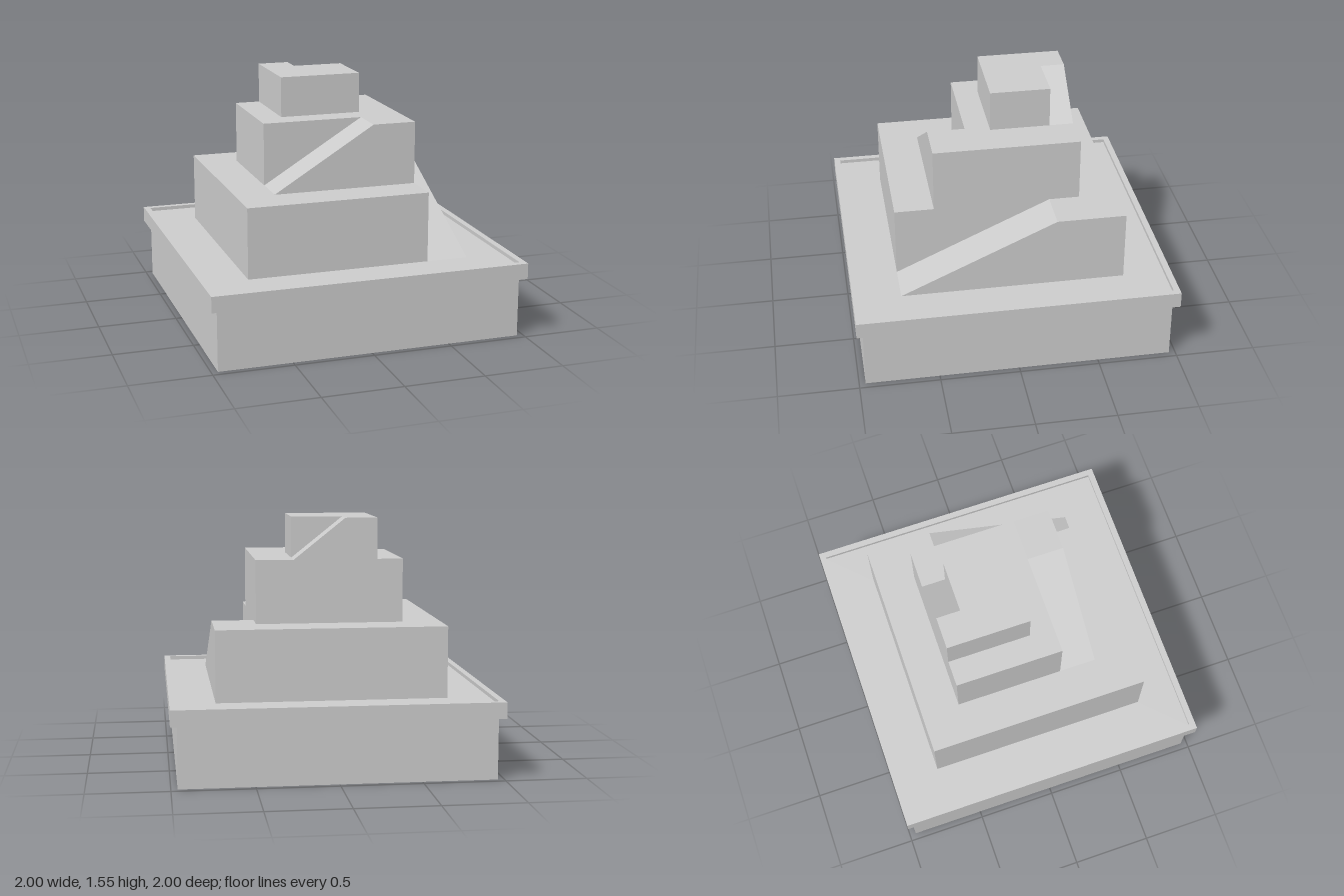
import * as THREE from 'three';

const material = new THREE.MeshStandardMaterial({ color: 0xcccccc, flatShading: true });

function part(name, geometry) {
  const mesh = new THREE.Mesh(geometry, material);
  mesh.name = name;
  return mesh;
}

// Box given by its limits on each axis
function block(name, [x0, x1], [y0, y1], [z0, z1]) {
  const geometry = new THREE.BoxGeometry(x1 - x0, y1 - y0, z1 - z0);
  geometry.translate((x0 + x1) / 2, (y0 + y1) / 2, (z0 + z1) / 2);
  return part(name, geometry);
}

// Side profile (x, y) extruded from z0 to z1
function slab(name, points, [z0, z1]) {
  const shape = new THREE.Shape(points.map(([x, y]) => new THREE.Vector2(x, y)));
  const geometry = new THREE.ExtrudeGeometry(shape, { depth: z1 - z0, bevelEnabled: false });
  geometry.translate(0, 0, z0);
  return part(name, geometry);
}

function tier(name, ...meshes) {
  const group = new THREE.Group();
  group.name = name;
  group.add(...meshes);
  return group;
}

const square = (r) => [[-r, -r], [r, -r], [r, r], [-r, r]].map(([x, y]) => new THREE.Vector2(x, y));

export function createModel() {
  const model = new THREE.Group();
  model.name = 'steppedTower';
  const floor = 0.457, y2 = 0.9, y3 = 1.295, y4 = 1.55;

  // Plinth, whose top is the sunken floor inside the rim
  model.add(block('plinth', [-0.96, 0.96], [0, floor], [-0.96, 0.96]));

  // Raised rim overhanging the plinth
  const frame = new THREE.Shape(square(1));
  frame.holes.push(new THREE.Path(square(0.96)));
  const rim = new THREE.ExtrudeGeometry(frame, { depth: 0.1, bevelEnabled: false });
  rim.rotateX(-Math.PI / 2).translate(0, 0.38, 0);
  model.add(part('rim', rim));

  // Lower tier: ramp climbs along its left side, from front to back
  const lowerRamp = slab('lowerRamp',
    [[-0.7, floor], [0.7, floor], [0.7, y2], [0.27, y2]], [0.455, 0.72]);
  lowerRamp.geometry.rotateY(Math.PI / 2);
  model.add(tier('lowerTier',
    block('lowerBlock', [-0.7, 0.455], [floor, y2], [-0.7, 0.7]), lowerRamp));

  // Middle tier: ramp climbs across its front
  model.add(tier('middleTier',
    block('middleBlock', [-0.46, 0.455], [y2, y3], [-0.46, 0.22]),
    slab('middleRamp', [[-0.46, y2], [0.455, y2], [0.455, y3], [0.18, y3]], [0.22, 0.455])));

  // Top tier: short ramp cut into its back corner
  model.add(tier('topTier',
    block('topBlock', [-0.3, 0.22], [y3, y4], [-0.31, 0.065]),
    slab('topRamp', [[-0.3, y3], [0.22, y3], [-0.1, y4], [-0.3, y4]], [-0.46, -0.31])));

  return model;
}
